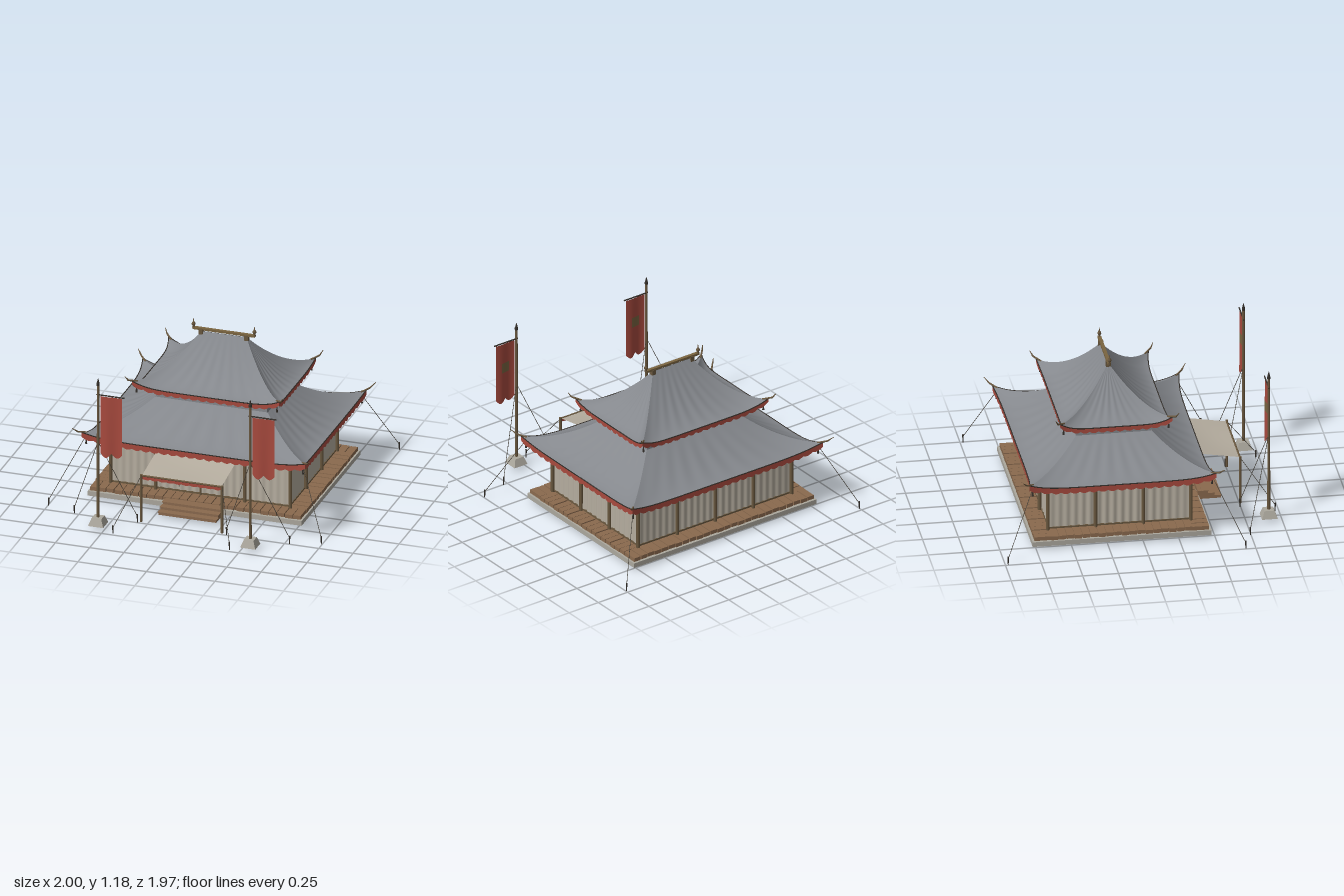
import * as THREE from 'three';

const CZ = -0.15; // centre of the pavilion in z
const V = (x, y, z) => new THREE.Vector3(x, y, z);

export function createModel() {
  const root = new THREE.Group();
  root.name = 'pavilionTent';
  const mat = (name, color, double) => {
    const m = new THREE.MeshStandardMaterial({ color });
    m.name = name;
    if (double) m.side = THREE.DoubleSide;
    return m;
  };
  const roofGrey = mat('roofGrey', 0x85888d, true);
  const red = mat('redCloth', 0xa84a3e, true);
  const canvas = mat('canvas', 0xb5ad9f, true);
  const wood = mat('wood', 0x6a583f);
  const plank = mat('plankWood', 0x8a6a4e);
  const stone = mat('stone', 0xaca89e);
  const dark = mat('darkMetal', 0x35302b);
  const rope = mat('rope', 0x4b463e);
  const bronze = mat('bronze', 0x7a6440);

  // helpers
  const add = (name, geo, material, parent = root) => {
    const m = new THREE.Mesh(geo, material);
    m.name = name;
    parent.add(m);
    return m;
  };
  const box = (name, w, h, d, x, y, z, material, parent) => {
    const m = add(name, new THREE.BoxGeometry(w, h, d), material, parent);
    m.position.set(x, y, z);
    return m;
  };
  const rod = (name, a, b, r0, r1, material, parent, seg = 8) => {
    const dir = b.clone().sub(a);
    const m = add(name, new THREE.CylinderGeometry(r1, r0, dir.length(), seg), material, parent);
    m.position.copy(a).add(b).multiplyScalar(0.5);
    m.quaternion.setFromUnitVectors(V(0, 1, 0), dir.normalize());
    return m;
  };
  // smooth sheet from f(u, v), u and v running 0..1
  const sheet = (nu, nv, f) => {
    const pos = [], idx = [];
    for (let j = 0; j <= nv; j++)
      for (let i = 0; i <= nu; i++) pos.push(...f(i / nu, j / nv).toArray());
    for (let j = 0; j < nv; j++)
      for (let i = 0; i < nu; i++) {
        const a = j * (nu + 1) + i, b = a + nu + 1;
        idx.push(a, b, a + 1, b, b + 1, a + 1);
      }
    const g = new THREE.BufferGeometry();
    g.setAttribute('position', new THREE.Float32BufferAttribute(pos, 3));
    g.setIndex(idx);
    g.computeVertexNormals();
    return g;
  };
  // point on side k of a rectangle, t from -1 to 1 along it
  const onSide = (k, t, hx, hz, y) => [
    V(t * hx, y, CZ + hz), V(hx, y, CZ - t * hz),
    V(-t * hx, y, CZ - hz), V(-hx, y, CZ + t * hz)][k];
  const corners = [[1, 1], [1, -1], [-1, -1], [-1, 1]];

  // sweeping hipped roof with valance, eave cord and corner horns
  const roof = (name, o) => {
    const g = new THREE.Group();
    g.name = name;
    root.add(g);
    const point = (k, t, v) => {
      const c = Math.pow(Math.abs(t), 7) * v * v;
      const hx = o.top[0] + (o.eave[0] - o.top[0]) * v + o.flare * c;
      const hz = o.top[1] + (o.eave[1] - o.top[1]) * v + o.flare * c;
      const fold = 0.004 * Math.sin(t * Math.PI * 9) * v * (1 - v) * 3 * (1 - t * t);
      return onSide(k, t, hx, hz, o.y0 + (o.y1 - o.y0) * Math.pow(1 - v, o.power) + o.lift * c + fold);
    };
    for (let k = 0; k < 4; k++) {
      add('roofSlope', sheet(64, 16, (u, v) => point(k, u * 2 - 1, v)), roofGrey, g);
      const n = k % 2 ? o.scallops[1] : o.scallops[0];
      add('valance', sheet(n * 6, 1, (u, v) => {
        const p = point(k, u * 2 - 1, 1);
        p.y -= v * (o.drop + 0.012 * Math.abs(Math.sin(u * n * Math.PI)));
        return p;
      }), red, g);
      const line = [];
      for (let i = 0; i <= 32; i++) line.push(point(k, i / 16 - 1, 1));
      add('eaveCord', new THREE.TubeGeometry(new THREE.CatmullRomCurve3(line), 48, 0.004, 5), dark, g);
    }
    corners.forEach(([sx, sz]) => {
      const x = o.eave[0] + o.flare, z = o.eave[1] + o.flare, y = o.y0 + o.lift;
      const at = (d, h) => V(sx * (x + d), y + h, CZ + sz * (z + d));
      rod('cornerHorn', at(-0.03, -0.008), at(0.02, 0.012), 0.007, 0.006, wood, g);
      rod('cornerHorn', at(0.02, 0.012), at(o.horn, 0.045), 0.006, 0.002, wood, g);
      rod('cornerBell', at(-0.025, -0.09), at(-0.025, -0.05), 0.008, 0.003, dark, g);
    });
  };
  roof('lowerRoof', { top: [0.41, 0.265], eave: [0.785, 0.622], y0: 0.455, y1: 0.67, power: 1.5,
    flare: 0.03, lift: 0.05, drop: 0.035, scallops: [24, 19], horn: 0.052 });
  roof('upperRoof', { top: [0.165, 0.002], eave: [0.515, 0.37], y0: 0.768, y1: 1.09, power: 1.6,
    flare: 0.022, lift: 0.055, drop: 0.026, scallops: [16, 12], horn: 0.038 });

  // upper storey wall and pleated lower wall
  for (let k = 0; k < 4; k++) {
    add('upperWall', sheet(48, 1, (u, v) =>
      onSide(k, u * 2 - 1, 0.405, 0.262, 0.8 - v * 0.145)), roofGrey);
    const pleats = k % 2 ? 18 : 24;
    add('canvasWall', sheet(pleats * 8, 1, (u, v) => {
      const w = 0.005 * Math.sin(u * pleats * Math.PI * 2) * (0.5 + v * 0.5) * Math.sin(u * Math.PI) ** 0.3;
      return onSide(k, u * 2 - 1, 0.645 + w * (k % 2), 0.49 + w * (1 - k % 2), 0.47 - v * 0.37);
    }), canvas);
  }
  box('wallSill', 1.3, 0.012, 0.99, 0, 0.094, CZ, wood);

  // wall posts
  const post = (x, z, r = 0.013) => rod('wallPost', V(x, 0.08, z), V(x, 0.48, z), r, r, wood);
  for (const s of [-1, 1]) {
    for (let i = 0; i < 4; i++) post(s * 0.655, CZ + 0.5 - i / 3);
    post(s * 0.325, CZ + 0.505);
    post(s * 0.325, CZ - 0.505);
    // tied door curtain
    const c = add('tiedCurtain', new THREE.SphereGeometry(1, 12, 10), canvas);
    c.scale.set(0.016, 0.11, 0.016);
    c.position.set(s * 0.155, 0.235, CZ + 0.5);
    box('curtainTie', 0.022, 0.01, 0.022, s * 0.155, 0.2, CZ + 0.506, rope);
  }
  post(0, CZ - 0.505);
  post(0, CZ + 0.5, 0.006);

  // stone base and plank deck
  box('stoneBase', 1.56, 0.035, 1.25, 0, 0.0375, CZ, stone);
  box('deckCore', 1.5, 0.024, 1.19, 0, 0.066, CZ, plank);
  const N = [26, 18];
  for (let k = 0; k < 4; k++) {
    const along = k % 2, n = N[along], len = along ? 0.99 : 1.54, step = len / n;
    for (let i = 0; i < n; i++) {
      const t = (-len / 2 + step * (i + 0.5)) / (len / 2);
      const p = onSide(k, t, along ? 0.71 : len / 2, along ? len / 2 : 0.55, 0.07 + ((i * 7) % 3) * 0.002);
      const w = step - 0.006;
      box('deckPlank', along ? 0.12 : w, 0.028, along ? w : 0.12, p.x, p.y, p.z, plank);
    }
  }
  // front steps
  for (let i = 0; i < 3; i++) {
    const h = 0.02 * (i + 1), z1 = 0.63 - i * 0.045;
    box('step', 0.42, h, z1 - 0.47, 0, 0.025 + h / 2, (z1 + 0.47) / 2, plank);
    box('stepNosing', 0.43, 0.006, 0.05, 0, 0.025 + h, z1 - 0.02, plank);
  }

  // entrance awning
  add('awningCloth', sheet(16, 10, (u, v) => V((u * 2 - 1) * 0.29,
    0.425 - 0.062 * v - 0.012 * Math.sin(v * Math.PI) * Math.sin(u * Math.PI), 0.38 + 0.365 * v)), canvas);
  add('awningValance', sheet(60, 1, (u, v) => V((u * 2 - 1) * 0.285,
    0.358 - v * (0.02 + 0.006 * Math.abs(Math.sin(u * 10 * Math.PI))), 0.752)), red);
  rod('awningBar', V(-0.3, 0.362, 0.75), V(0.3, 0.362, 0.75), 0.007, 0.007, wood);

  // guy rope with its ground peg
  const guy = (from, x, z) => {
    rod('guyRope', from, V(x, 0.045, z), 0.0022, 0.0022, rope, root, 5);
    rod('peg', V(x, 0, z), V(x, 0.06, z), 0.003, 0.006, dark, root, 6);
  };
  for (const s of [-1, 1]) {
    rod('awningPost', V(s * 0.295, 0.015, 0.752), V(s * 0.295, 0.37, 0.752), 0.01, 0.01, wood);
    guy(V(s * 0.295, 0.36, 0.752), s * 0.425, 0.975);
  }
  corners.forEach(([sx, sz]) =>
    guy(V(sx * 0.8, 0.455, CZ + sz * 0.635), sx * 0.994, CZ + sz * 0.83));

  // ridge beam with finials
  box('ridgeBeam', 0.45, 0.016, 0.024, 0, 1.108, CZ, bronze);
  for (const s of [-1, 1]) {
    box('ridgeBlock', 0.03, 0.045, 0.034, s * 0.165, 1.085, CZ, wood);
    const prof = [[0.006, 0], [0.012, 0.012], [0.006, 0.02], [0.014, 0.034], [0.012, 0.044], [0.005, 0.054], [0.001, 0.08]];
    const f = add('ridgeFinial', new THREE.LatheGeometry(prof.map(p => new THREE.Vector2(...p)), 10), wood);
    f.position.set(s * 0.222, 1.1, CZ);
  }

  // banner poles
  for (const s of [-1, 1]) {
    const g = new THREE.Group();
    g.name = 'bannerStand';
    g.position.set(s * 0.555, 0, 0.91);
    root.add(g);
    const base = add('poleBase', new THREE.CylinderGeometry(0.05, 0.078, 0.055, 4).toNonIndexed(), stone, g);
    base.geometry.computeVertexNormals();
    base.rotation.y = Math.PI / 4;
    base.position.y = 0.0525;
    rod('pole', V(0, 0.07, 0), V(0, 1.08, 0), 0.011, 0.009, wood, g);
    rod('poleTip', V(0, 1.09, 0), V(0, 1.13, 0), 0.011, 0.001, dark, g);
    rod('poleCollar', V(0, 1.075, 0), V(0, 1.09, 0), 0.012, 0.012, dark, g);
    rod('crossArm', V(-0.012, 1.005, 0), V(0.19, 1.005, 0), 0.005, 0.005, dark, g);
    const wave = (u, v) => 0.007 * Math.sin(u * Math.PI * 2) * (0.4 + v * 0.6);
    add('banner', sheet(32, 16, (u, v) => V(0.016 + u * 0.16,
      0.997 - v * (0.427 + 0.033 * Math.abs(Math.sin(u * Math.PI * 2))), wave(u, v))), red, g);
    // plain patch on the rear of the banner
    const patch = sheet(8, 4, (u, v) => V(0.128 - u * 0.064, 0.85 - v * 0.075, wave(0.7 - u * 0.4, 0.43) - 0.004));
    add('bannerPatch', patch, bronze, g);
    for (const t of [-1, 1]) guy(V(s * 0.555, 0.65, 0.91), s * 0.555 + t * 0.23, 0.745);
  }
  return root;
}
